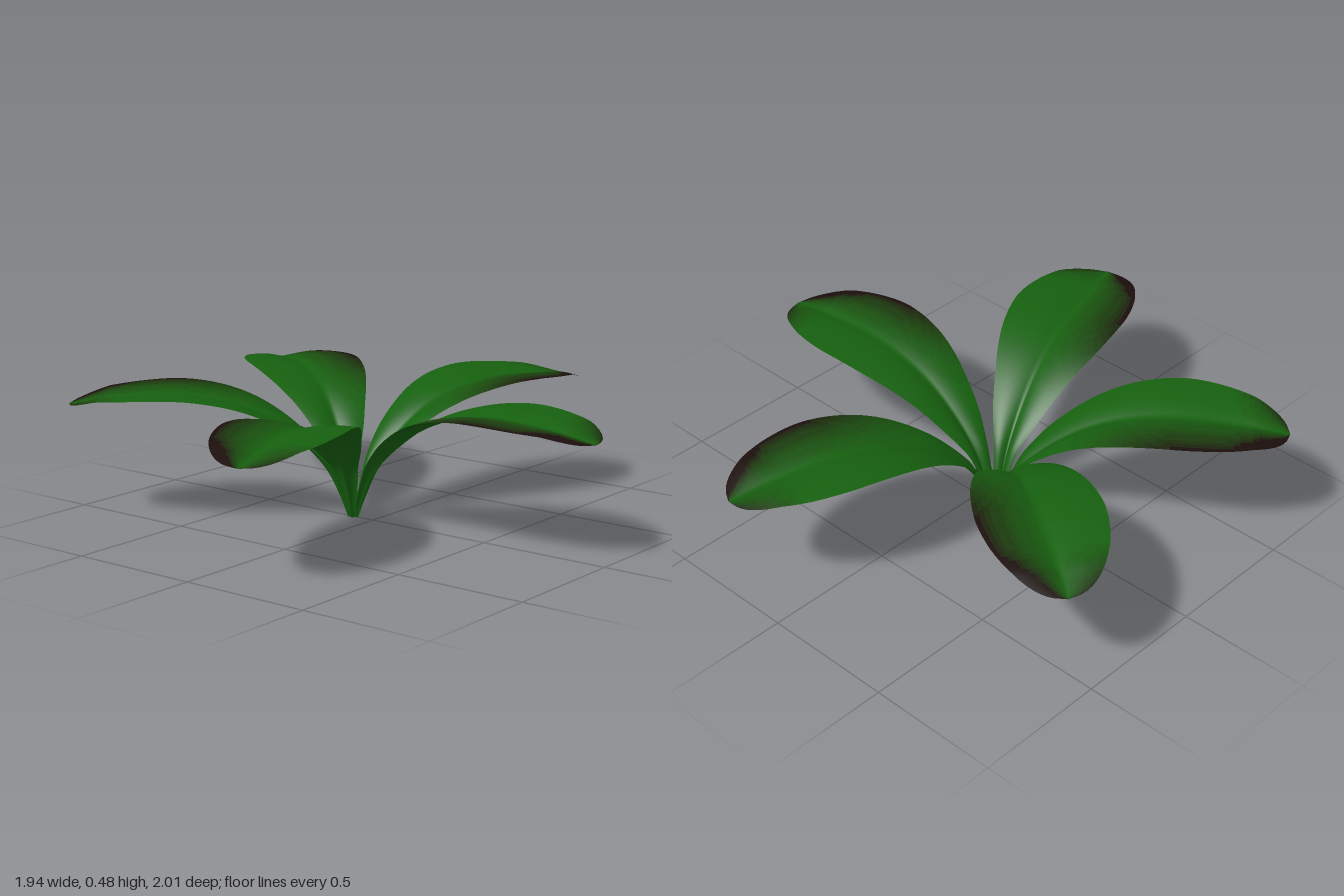
import * as THREE from 'three';

const ROWS = 56, COLS = 24, SHADES = 10, TIP = 1.05;

// Leaf rib as (distance from centre, height, half width)
const rib = new THREE.CatmullRomCurve3([
  [0.02, 0, 0.015], [0.05, 0.08, 0.028], [0.10, 0.18, 0.047], [0.19, 0.28, 0.095],
  [0.29, 0.355, 0.135], [0.39, 0.405, 0.172], [0.49, 0.435, 0.2], [0.6, 0.452, 0.217],
  [0.7, 0.455, 0.22], [0.85, 0.445, 0.19], [0.97, 0.432, 0.13], [1.03, 0.424, 0.065],
  [TIP, 0.422, 0],
].map(p => new THREE.Vector3(...p)));

// Green blade shading into a dark maroon margin
const materials = Array.from({ length: SHADES }, (_, i) => new THREE.MeshStandardMaterial({
  color: new THREE.Color(0x16600f).lerp(new THREE.Color(0x1c0f0d), i / (SHADES - 1)),
  side: THREE.DoubleSide,
}));

// One side of the blade and its tip are darker
function shadeAt(r, t) {
  const side = Math.max(0, t) * THREE.MathUtils.smoothstep(r, 0.2, 0.65);
  const tip = Math.abs(t) * THREE.MathUtils.smoothstep(r, 0.8, TIP);
  return Math.round(Math.min(1, side + tip) * (SHADES - 1));
}

function leafGeometry() {
  const positions = [], buckets = materials.map(() => []);
  for (let i = 0; i <= ROWS; i++) {
    const p = rib.getPointAt(i / ROWS), d = rib.getTangentAt(i / ROWS);
    const len = Math.hypot(d.x, d.y) || 1;
    const w = Math.max(0, p.z);
    // Each half bulges up from a creased midrib
    const depth = Math.max(0, Math.min(0.025, w * 0.5, (TIP - p.x) * 0.2));
    for (let j = 0; j <= COLS; j++) {
      const t = j / COLS * 2 - 1, a = Math.abs(t);
      const lift = depth * (1 - (1 - a) ** 3 - 0.15 * a ** 4);
      positions.push(p.x - lift * d.y / len, p.y + lift * d.x / len, t * w);
      if (i < ROWS && j < COLS) {
        const n = i * (COLS + 1) + j, m = n + COLS + 1;
        buckets[shadeAt(p.x, t + 1 / COLS)].push(n, n + 1, m, n + 1, m + 1, m);
      }
    }
  }
  const geometry = new THREE.BufferGeometry();
  geometry.setAttribute('position', new THREE.Float32BufferAttribute(positions, 3));
  geometry.setIndex(buckets.flat());
  let start = 0;
  buckets.forEach((b, k) => {
    if (b.length) geometry.addGroup(start, b.length, k);
    start += b.length;
  });
  geometry.computeVertexNormals();
  return geometry;
}

export function createModel() {
  const plant = new THREE.Group();
  plant.name = 'plant';
  const geometry = leafGeometry();
  // Rosette of five leaves around a small open centre
  [0, 73.5, 146, 216, 288].forEach((angle, i) => {
    const leaf = new THREE.Mesh(geometry, materials);
    leaf.name = `leaf${i + 1}`;
    leaf.rotation.y = THREE.MathUtils.degToRad(angle);
    leaf.position.set(-0.088, 0, 0.004);
    plant.add(leaf);
  });
  return plant;
}
